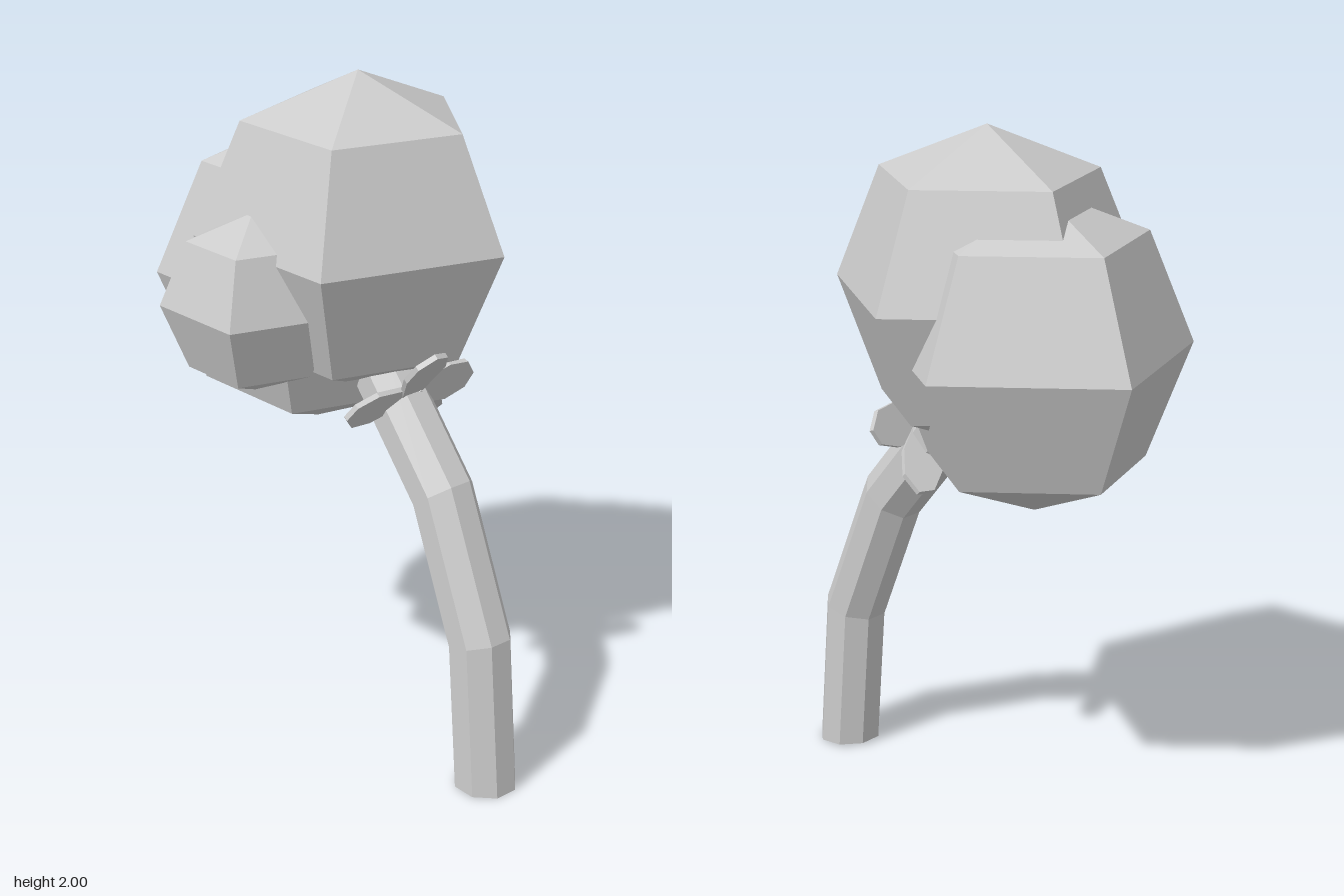
import * as THREE from 'three';

const material = new THREE.MeshStandardMaterial({ color: 0xcccccc, flatShading: true, side: THREE.DoubleSide });

function addMesh(parent, name, geometry) {
  const mesh = new THREE.Mesh(geometry, material);
  mesh.name = name;
  parent.add(mesh);
  return mesh;
}

// Curved stem: an open eight-sided tube whose rings follow a path in the y-z plane
function stemGeometry() {
  const radius = 0.094;
  const rings = [ // x, y, z of centre, tilt about x; from the top down
    [0.035, 1.17, 0.07, 0.8],
    [0.03, 0.845, 0.345, 0.63],
    [0.02, 0.45, 0.515, 0.23],
    [0.015, 0.004, 0.555, -0.04],
  ];
  const geometry = new THREE.CylinderGeometry(radius, radius, 3, 8, 3, true, Math.PI / 8);
  const p = geometry.attributes.position;
  for (let i = 0; i < p.count; i++) {
    const [x, y, z, tilt] = rings[Math.round(1.5 - p.getY(i))];
    const depth = p.getZ(i);
    p.setXYZ(i, x + p.getX(i), Math.max(0, y + depth * Math.sin(tilt)), z + depth * Math.cos(tilt));
  }
  geometry.computeVertexNormals();
  return geometry;
}

// Thin pointed leaf lying along +x
function leafGeometry(length) {
  const w = 0.065;
  const shape = new THREE.Shape([
    new THREE.Vector2(0, -w * 0.5),
    new THREE.Vector2(length * 0.6, -w),
    new THREE.Vector2(length * 0.9, -w * 0.7),
    new THREE.Vector2(length, 0),
    new THREE.Vector2(length * 0.85, w * 0.8),
    new THREE.Vector2(length * 0.55, w),
    new THREE.Vector2(0, w * 0.5),
  ]);
  return new THREE.ExtrudeGeometry(shape, { depth: 0.016, bevelEnabled: false }).translate(0, 0, -0.008);
}

export function createModel() {
  const model = new THREE.Group();
  model.name = 'flowerHead';

  // Overlapping five-sided lobes: radius, centre
  const lobes = [
    ['mainLobe', 0.465, 0.037, 1.535, -0.025],
    ['backLobe', 0.465, 0.037, 1.38, -0.2],
    ['sideLobe', 0.262, -0.293, 1.38, -0.09],
  ];
  for (const [name, r, x, y, z] of lobes) {
    addMesh(model, name, new THREE.SphereGeometry(r, 5, 4, Math.PI)).position.set(x, y, z);
  }

  addMesh(model, 'stem', stemGeometry());

  // Leaves around the stem just below the lobes: angle, length, roll
  const calyx = new THREE.Group();
  calyx.name = 'calyx';
  calyx.position.set(0.025, 1.11, 0.21);
  calyx.rotation.x = 0.727;
  const leaves = [[1.75, 0.225, 0], [0.06, 0.235, -0.4], [3.25, 0.23, 0.15], [-0.8, 0.29, 0.1]];
  for (const [angle, length, roll] of leaves) {
    const pivot = new THREE.Group();
    pivot.name = 'leafPivot';
    pivot.rotation.z = angle;
    addMesh(pivot, 'leaf', leafGeometry(length)).rotation.x = roll;
    calyx.add(pivot);
  }
  model.add(calyx);

  return model;
}
